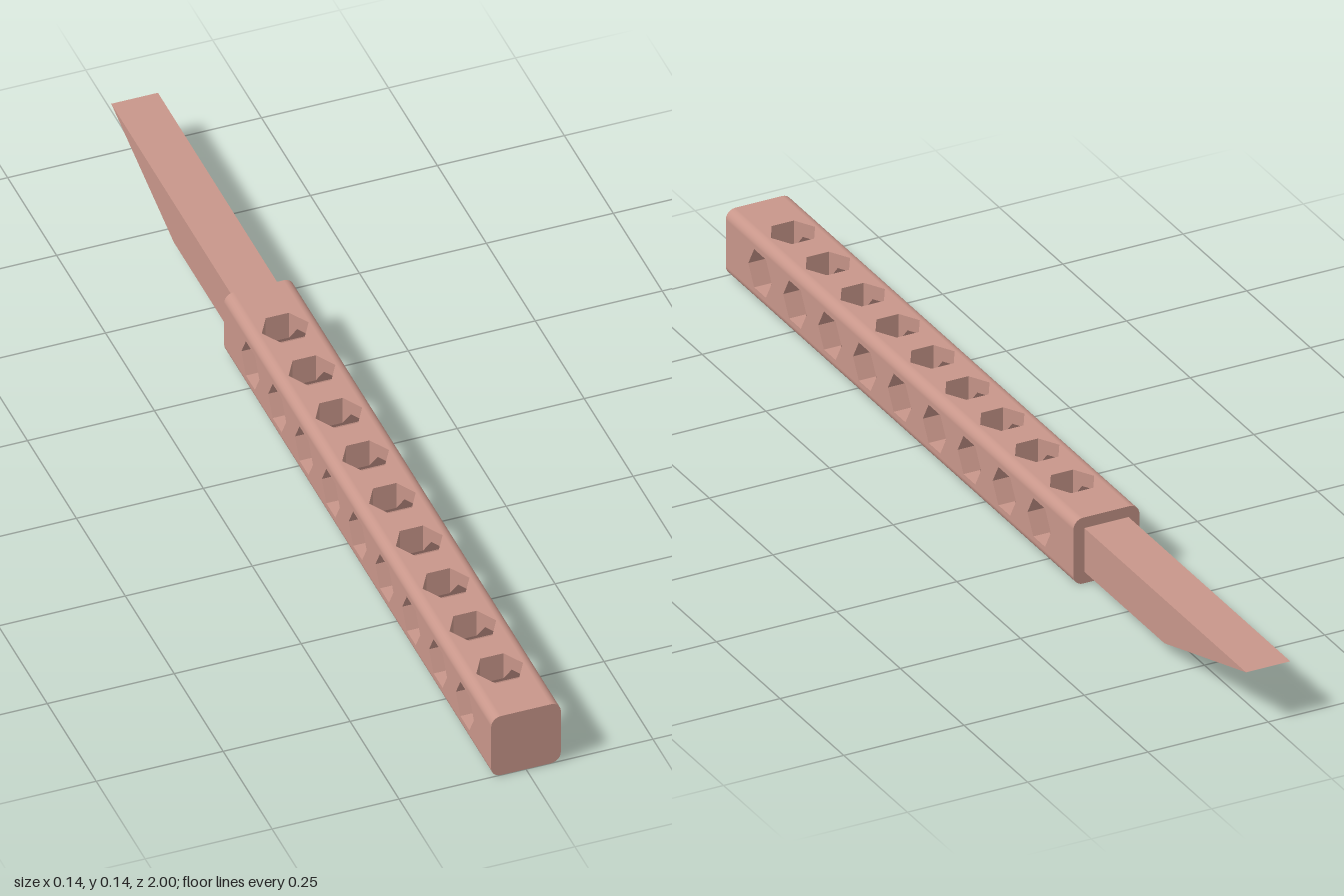
import * as THREE from 'three';
import { mergeGeometries } from 'three/addons/utils/BufferGeometryUtils.js';

const H = 0.0685;          // half thickness of the handle
const EDGE = 0.02;         // edge rounding
const LEN = 1.365;         // handle length
const R = 0.046;           // hexagon hole radius
const A = Math.sqrt(3) / 2;
const CENTRE_Z = 1 - LEN / 2;
const PITCH = 0.137;
const HOLES = Array.from({ length: 9 }, (_, i) => (i - 4) * PITCH);

// Flat side of the handle with a row of hexagonal holes; faces +y
function panel(turn) {
  const w = H - EDGE, l = LEN / 2;
  const shape = new THREE.Shape([[-w, -l], [w, -l], [w, l], [-w, l]].map(p => new THREE.Vector2(...p)));
  for (const c of HOLES) {
    const pts = [];
    for (let i = 0; i < 6; i++) {
      const t = turn - i * Math.PI / 3;
      pts.push(new THREE.Vector2(R * Math.cos(t), c + R * Math.sin(t)));
    }
    shape.holes.push(new THREE.Path(pts));
  }
  return new THREE.ShapeGeometry(shape).rotateX(-Math.PI / 2).translate(0, H, 0);
}

// Rounded square end face
function endCap() {
  const s = new THREE.Shape(), w = H - EDGE;
  s.absarc(w, w, EDGE, 0, Math.PI / 2);
  s.absarc(-w, w, EDGE, Math.PI / 2, Math.PI);
  s.absarc(-w, -w, EDGE, Math.PI, Math.PI * 1.5);
  s.absarc(w, -w, EDGE, Math.PI * 1.5, Math.PI * 2);
  return new THREE.ShapeGeometry(s, 6).translate(0, 0, LEN / 2);
}

// Inward-facing tunnel walls along z. Each quarter point is [u, v, open],
// where open is how far the crossing tunnel cuts the wall away from the middle.
function tunnel(quarter) {
  const mirror = (su, sv) => quarter.map(([u, v, o]) => [u * su, v * sv, o]);
  const loop = [...quarter, ...mirror(-1, 1).reverse(), ...mirror(-1, -1), ...mirror(1, -1).reverse()];
  const pos = [];
  loop.forEach((p, i) => {
    const q = loop[(i + 1) % loop.length];
    if (Math.hypot(p[0] - q[0], p[1] - q[1]) < 1e-6) return;
    for (const s of [1, -1]) {
      const at = (k, w) => [k[0] * R, k[1] * R, s * w];
      const pl = at(p, p[2] * R), ql = at(q, q[2] * R), ph = at(p, H), qh = at(q, H);
      const tris = s > 0 ? [ql, pl, ph, ql, ph, qh] : [pl, ql, ph, ph, ql, qh];
      pos.push(...tris.flat());
    }
  });
  const g = new THREE.BufferGeometry();
  g.setAttribute('position', new THREE.Float32BufferAttribute(pos, 3));
  g.computeVertexNormals();
  return g;
}

export function createModel() {
  const material = new THREE.MeshStandardMaterial({ color: 0xc8968a });
  const model = new THREE.Group();
  const add = (parent, name, geometry) => {
    const mesh = new THREE.Mesh(geometry, material);
    mesh.name = name;
    parent.add(mesh);
    return mesh;
  };

  const handle = new THREE.Group();
  handle.name = 'handle';
  handle.position.set(0, H, CENTRE_Z);
  model.add(handle);

  // Four pierced sides and four rounded edges
  const sides = ['top', 'left', 'bottom', 'right'];
  sides.forEach((side, i) => {
    const angle = -i * Math.PI / 2;
    add(handle, side + 'Side', panel(i % 2 ? Math.PI / 2 : 0).rotateZ(angle));
    const edge = new THREE.CylinderGeometry(EDGE, EDGE, LEN, 6, 1, true, Math.PI / 2, Math.PI / 2);
    edge.rotateX(Math.PI / 2).translate(H - EDGE, H - EDGE, 0).rotateZ(angle);
    add(handle, 'roundedEdge', edge);
  });
  add(handle, 'frontEnd', endCap());
  add(handle, 'backEnd', endCap().rotateY(Math.PI));

  // Crossing hexagonal tunnels
  const slot = Math.sqrt(3) * (1 - A), k = 1 - 0.5 / Math.sqrt(3);
  const vertical = tunnel([[1, 0, A], [k, 0.5, A], [0.5, A, slot]]).rotateX(-Math.PI / 2);
  const across = tunnel([[1, 0, 0], [A, slot, 0], [A, slot, 0.5], [0.5, A, k], [0, A, 1]]).rotateY(Math.PI / 2);
  const crossing = mergeGeometries([vertical, across]);
  for (const z of HOLES) add(handle, 'holeWalls', crossing).position.z = z;

  // Blade with a slanted lower tip, drawn in (-z, y) and extruded across x
  const back = -(1 - LEN);
  const profile = new THREE.Shape([[back, 0.024], [0.68, 0.024], [1, 0.115], [back, 0.115]]
    .map(p => new THREE.Vector2(...p)));
  const blade = new THREE.ExtrudeGeometry(profile, { depth: 2 * R, bevelEnabled: false });
  add(model, 'blade', blade.translate(0, 0, -R).rotateY(Math.PI / 2));

  return model;
}
